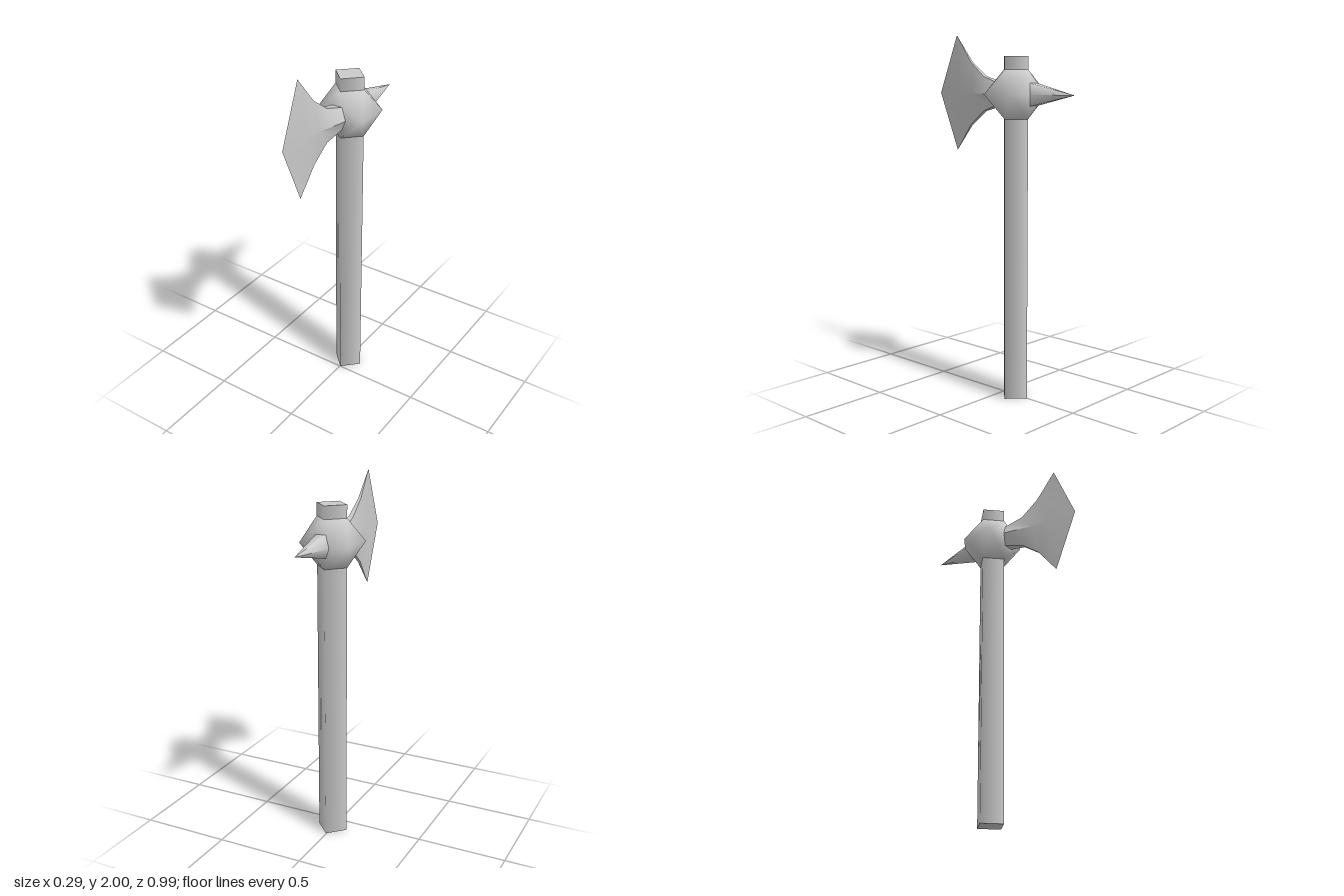
import * as THREE from 'three';
import { mergeVertices, toCreasedNormals } from 'three/addons/utils/BufferGeometryUtils.js';
import { ConvexGeometry } from 'three/addons/geometries/ConvexGeometry.js';

const CX = 0.003, CZ = -0.088; // shaft axis
const HEAD_Y = 1.68;

// Hexagonal section: side points (ridge) and top/bottom points may lie at different z
const hexSection = ([ridgeX, ridgeZ, edgeX, edgeH, edgeZ]) => [
  [ridgeX, 0, ridgeZ], [edgeX, edgeH, edgeZ], [-edgeX, edgeH, edgeZ],
  [-ridgeX, 0, ridgeZ], [-edgeX, -edgeH, edgeZ], [edgeX, -edgeH, edgeZ],
].map(([x, y, z]) => new THREE.Vector3(CX + x, HEAD_Y + y, z));

// Skin over sections ordered towards +z
function loft(sections) {
  const points = sections.flatMap(hexSection);
  const index = [];
  for (let s = 0; s < sections.length - 1; s++) {
    for (let i = 0; i < 6; i++) {
      const a = s * 6 + i, b = s * 6 + (i + 1) % 6;
      for (const tri of [[a, b, b + 6], [a, b + 6, a + 6]]) {
        const [p, q, r] = tri.map((k) => points[k]);
        const area = q.clone().sub(p).cross(r.clone().sub(p)).length();
        if (area > 1e-8) index.push(...tri); // skip collapsed corners
      }
    }
  }
  const geometry = new THREE.BufferGeometry().setFromPoints(points);
  geometry.setIndex(index);
  geometry.computeVertexNormals();
  return geometry;
}

export function createModel() {
  const group = new THREE.Group();
  const material = new THREE.MeshStandardMaterial({ color: 0xcccccc });
  const add = (name, geometry) => {
    const mesh = new THREE.Mesh(geometry, material);
    mesh.name = name;
    group.add(mesh);
    return mesh;
  };

  // Square shaft turned corner-on, poking out above the head
  const shaft = add('shaft', new THREE.CylinderGeometry(0.088, 0.088, 1.88, 4));
  shaft.position.set(CX, 0.94, CZ);

  // Sockets where the blade and spike meet the head
  const bladeSocket = [0.062, 0.045, 0.03, 0.063, 0.03];
  const spikeSocket = [0.062, -0.245, 0.03, 0.063, -0.2];

  // Faceted head, smoothly shaded
  const headPoints = [...hexSection(bladeSocket), ...hexSection(spikeSocket)];
  for (const y of [1.55, 1.81]) {
    for (const [x, z] of [[1, 0], [0, 1], [-1, 0], [0, -1]]) {
      headPoints.push(new THREE.Vector3(CX + x * 0.088, y, CZ + z * 0.088));
    }
  }
  for (const x of [-0.147, 0.147]) {
    for (const z of [0.01, -0.18]) headPoints.push(new THREE.Vector3(x, HEAD_Y, z));
  }
  const hull = new ConvexGeometry(headPoints);
  hull.deleteAttribute('normal');
  const head = mergeVertices(hull);
  head.computeVertexNormals();
  add('head', head);

  // Flaring blade thinning to a pointed cutting edge
  const blade = loft([
    bladeSocket,
    [0.025, 0.21, 0.013, 0.095, 0.14],
    [0.018, 0.33, 0.008, 0.175, 0.245],
    [0, 0.495, 0, 0.322, 0.36],
  ]);
  add('blade', toCreasedNormals(blade, Math.PI / 6));

  // Rear spike, from tip to base
  add('spike', loft([[0, -0.49, 0, 0, -0.49], spikeSocket]));

  return group;
}
